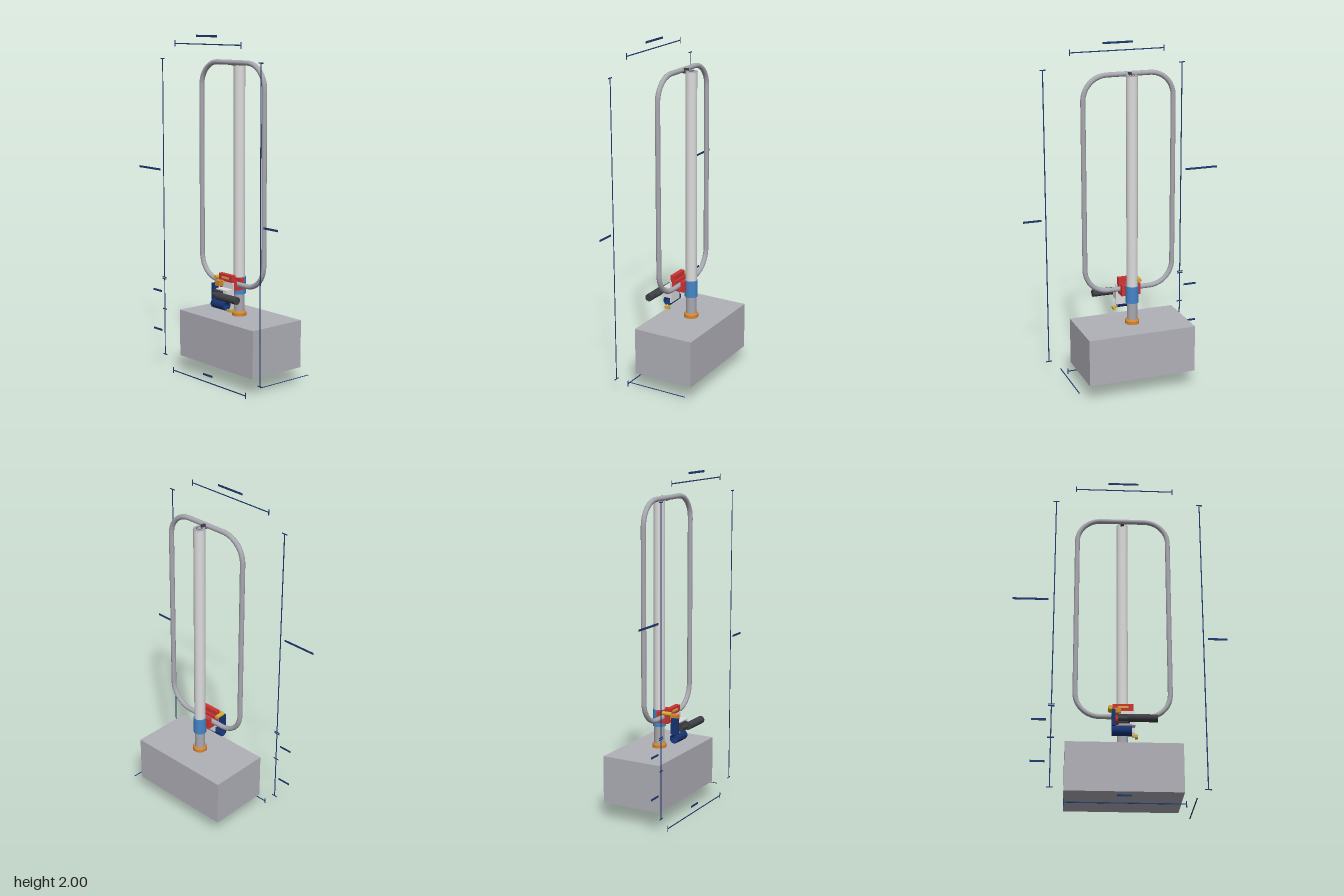
import * as THREE from 'three';

const mat = (name, color) => {
  const m = new THREE.MeshStandardMaterial({ color });
  m.name = name;
  return m;
};

export function createModel() {
  const root = new THREE.Group();
  root.name = 'loopPost';
  const concrete = mat('concrete grey', 0xb0b0b8);
  const post = mat('pale grey', 0xdcdcdc);
  const steel = mat('steel grey', 0xa8a8b0);
  const blue = mat('sleeve blue', 0x4686c8);
  const navy = mat('lock navy', 0x163474);
  const orange = mat('orange', 0xd48632);
  const yellow = mat('yellow', 0xd8ac34);
  const red = mat('red', 0xd03434);
  const black = mat('charcoal', 0x3e4046);
  const ink = mat('line ink', 0x1f3a70);

  const add = (name, geometry, material, x = 0, y = 0, z = 0, parent = root) => {
    const m = new THREE.Mesh(geometry, material);
    m.name = name;
    m.position.set(x, y, z);
    parent.add(m);
    return m;
  };
  // Box given by its limits on each axis
  const box = (name, material, x0, x1, y0, y1, z0, z1, parent = root) =>
    add(name, new THREE.BoxGeometry(x1 - x0, y1 - y0, z1 - z0), material,
      (x0 + x1) / 2, (y0 + y1) / 2, (z0 + z1) / 2, parent);
  const cylY = (name, material, r0, r1, y0, y1, x, z) =>
    add(name, new THREE.CylinderGeometry(r1, r0, y1 - y0, 40), material, x, (y0 + y1) / 2, z);
  const cylX = (name, material, r, x0, x1, y, z) =>
    add(name, new THREE.CylinderGeometry(r, r, x1 - x0, 28).rotateZ(Math.PI / 2), material, (x0 + x1) / 2, y, z);
  const cylZ = (name, material, r, z0, z1, x, y) =>
    add(name, new THREE.CylinderGeometry(r, r, z1 - z0, 24).rotateX(Math.PI / 2), material, x, y, (z0 + z1) / 2);

  const CX = 0.027, PZ = -0.029;

  // Foundation and post
  box('foundation', concrete, -0.296, 0.352, 0.1, 0.379, -0.215, 0.156);
  cylY('innerPost', steel, 0.031, 0.031, 0.37, 0.52, CX, PZ);
  cylY('post', post, 0.033, 0.033, 0.6, 1.842, CX, PZ);
  cylY('postCap', steel, 0.033, 0.033, 1.842, 1.845, CX, PZ);
  cylY('postSleeve', blue, 0.038, 0.038, 0.509, 0.61, CX, PZ);
  cylY('baseCollar', orange, 0.042, 0.042, 0.379, 0.398, CX, PZ);
  cylY('baseCollarBevel', orange, 0.042, 0.036, 0.398, 0.407, CX, PZ);
  add('postTopRing', new THREE.TorusGeometry(0.015, 0.0018, 8, 32).rotateX(Math.PI / 2), black, CX, 1.845, PZ);
  box('topClip', black, CX - 0.009, CX + 0.009, 1.828, 1.856, -0.01, 0.024);

  // Rounded tube loop
  const r = 0.0145, corner = 0.14;
  const hw = 0.284 - r, y0 = 0.564 + r, y1 = 1.86 - r, hh = (y1 - y0) / 2;
  const path = [];
  [[1, 1], [-1, 1], [-1, -1], [1, -1]].forEach(([sx, sy], q) => {
    for (let i = 0; i <= 14; i++) {
      const a = (q + i / 14) * Math.PI / 2;
      path.push(new THREE.Vector3(
        sx * (hw - corner) + corner * Math.cos(a), sy * (hh - corner) + corner * Math.sin(a), 0));
    }
  });
  const loopPath = new THREE.CurvePath();
  path.forEach((p, i) => loopPath.add(new THREE.LineCurve3(p, path[(i + 1) % path.length])));
  add('loopTube', new THREE.TubeGeometry(loopPath, 240, r, 16, true), steel, CX, (y0 + y1) / 2, 0.025);

  // Red clamp holding the loop to the post
  box('clampBack', red, -0.032, 0.084, 0.548, 0.61, -0.016, 0.01);
  box('clampFront', red, -0.032, 0.084, 0.548, 0.606, 0.038, 0.066);
  box('clampBottom', red, -0.032, 0.084, 0.543, 0.562, -0.01, 0.06);
  box('clampLip', red, -0.032, 0.084, 0.594, 0.636, 0.05, 0.076);
  box('clampLabel', yellow, -0.004, 0.056, 0.61, 0.622, 0.075, 0.08);
  cylZ('clampKnob', yellow, 0.012, 0.035, 0.092, -0.046, 0.61);

  // Lock housing with its back plate
  box('housingPlate', post, 0.0, 0.092, 0.465, 0.594, 0.068, 0.077);
  box('housing', post, 0.0, 0.092, 0.494, 0.558, 0.077, 0.124);
  box('latch', orange, -0.023, 0.012, 0.568, 0.599, 0.072, 0.114);
  box('sideStrip', navy, -0.038, -0.02, 0.488, 0.583, 0.084, 0.128);

  // Hollow navy tube below the housing
  const ring = new THREE.Shape().absarc(0, 0, 0.028, 0, Math.PI * 2);
  ring.holes.push(new THREE.Path().absarc(0, 0, 0.022, 0, Math.PI * 2, true));
  add('lockTube', new THREE.ExtrudeGeometry(ring, { depth: 0.11, bevelEnabled: false, curveSegments: 24 })
    .rotateY(Math.PI / 2), navy, -0.038, 0.463, 0.106);
  box('lockTab', yellow, 0.072, 0.106, 0.43, 0.443, 0.098, 0.108);
  box('lockTabEnd', yellow, 0.092, 0.106, 0.428, 0.445, 0.075, 0.106);

  // Handle
  cylX('handleArm', black, 0.015, -0.006, 0.162, 0.524, 0.136);
  box('handleHub', black, -0.006, 0.06, 0.5, 0.551, 0.12, 0.14);
  cylX('handleGrip', black, 0.022, 0.045, 0.212, 0.524, 0.15);

  // Flat dimension lines with end ticks, in a plane ahead of the model
  const dims = new THREE.Group();
  dims.name = 'dimensionLines';
  root.add(dims);
  const Z = 0.21, t = 0.003, k = 0.018;
  const bar = (name, xa, xb, ya, yb) => box(name, ink, xa, xb, ya, yb, Z - 0.001, Z + 0.001, dims);
  const across = (y, xa, xb) => {
    bar('line', xa, xb, y - t, y + t);
    for (const x of [xa, xb]) bar('tick', x - t, x + t, y - k, y + k);
  };
  const upright = (x, ya, yb) => {
    bar('line', x - t, x + t, ya, yb);
    for (const y of [ya, yb]) bar('tick', x - k, x + k, y - t, y + t);
  };
  across(1.949, -0.257, 0.311);
  across(0.018, -0.296, 0.352);
  upright(-0.372, 0.1, 0.379);
  upright(-0.372, 0.379, 0.562);
  upright(-0.372, 0.572, 1.86);
  upright(0.471, 0.1, 1.86);
  box('depthLine', ink, 0.413, 0.419, 0.067, 0.069, -0.215, 0.156, dims);

  // Plain marker strips beside the lines: centre x, centre y, width
  [[0.024, 1.994, 0.18], [-0.505, 1.213, 0.205], [-0.44, 0.482, 0.08],
    [-0.44, 0.243, 0.08], [0.552, 0.985, 0.11], [0.025, 0.06, 0.08]]
    .forEach(([x, y, w]) => bar('marker', x - w / 2, x + w / 2, y - 0.006, y + 0.006));

  return root;
}
